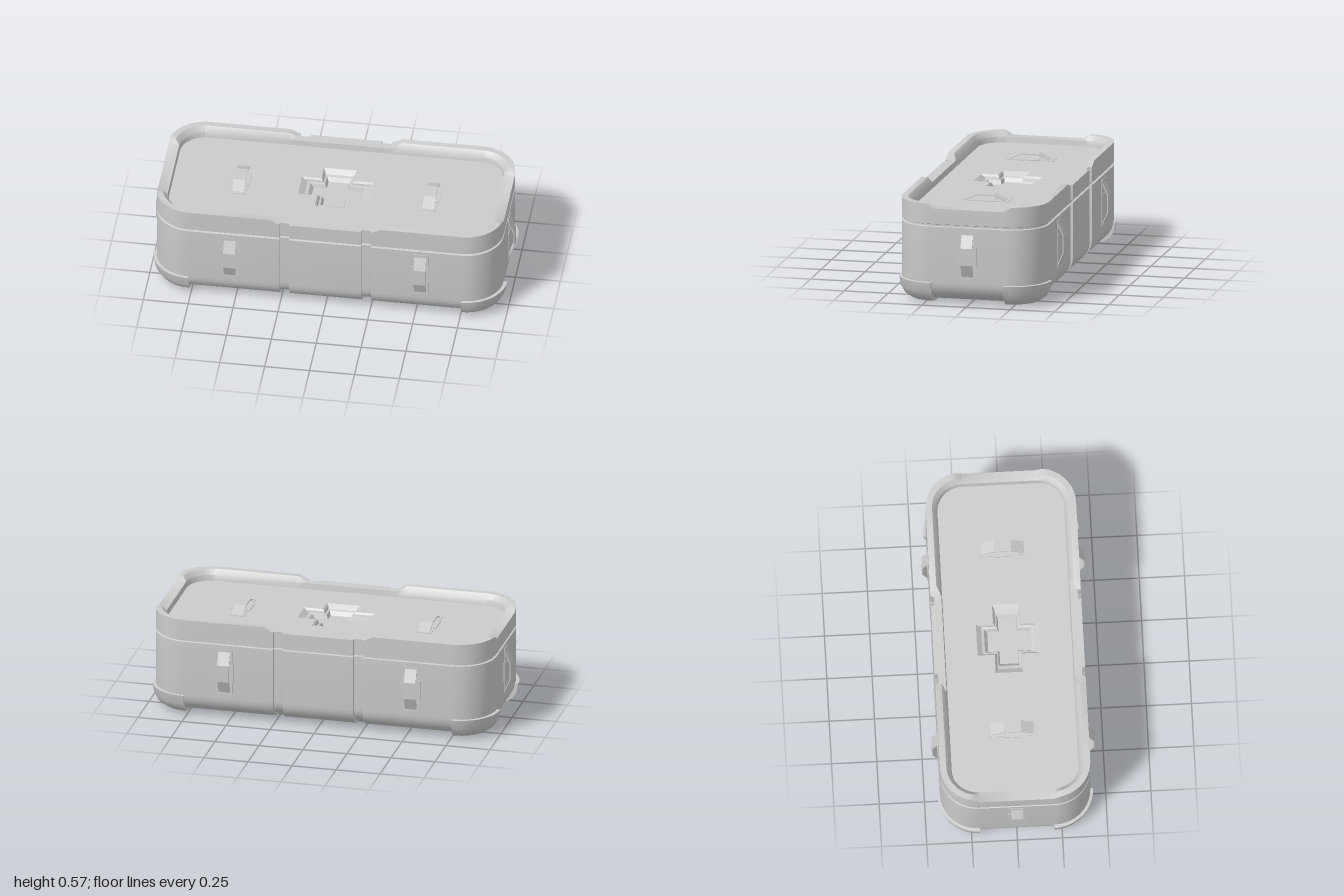
import * as THREE from 'three';
import { toCreasedNormals } from 'three/addons/utils/BufferGeometryUtils.js';

const R = 0.205, CX = 0.76, CZ = 0.21;   // plan corner radius and its centre
const GROOVE = 0.018, FLOOR = 0.508;

const material = new THREE.MeshStandardMaterial({ color: 0xcccccc });
const doubleSided = new THREE.MeshStandardMaterial({ color: 0xcccccc, side: THREE.DoubleSide });

function mesh(name, geometry, mat = material) {
  const m = new THREE.Mesh(geometry, mat);
  m.name = name;
  return m;
}

// Plan outline: base point, outward normal and groove flag for each station
function outline() {
  const quarter = [];
  for (const x of [0, 0.2, 0.201, 0.254, 0.255, 0.31]) {
    quarter.push({ x, z: CZ, nx: 0, nz: 1, g: x > 0.2 && x < 0.255 ? 1 : 0 });
  }
  for (let i = 0; i <= 10; i++) {
    const a = (i / 10) * Math.PI / 2;
    quarter.push({ x: CX, z: CZ, nx: Math.sin(a), nz: Math.cos(a), g: 0 });
  }
  for (const z of [0.2, 0]) quarter.push({ x: CX, z, nx: 1, nz: 0, g: 0 });
  const loop = [];
  [[1, 1], [1, -1], [-1, -1], [-1, 1]].forEach(([sx, sz], k) => {
    const q = k % 2 ? [...quarter].reverse() : quarter;
    for (const p of q.slice(0, -1)) {
      loop.push({ x: p.x * sx, z: p.z * sz, nx: p.nx * sx, nz: p.nz * sz, g: p.g });
    }
  });
  return loop;
}
const OUTLINE = outline();

// Rim height, lowered in the middle of all four sides
function rimHeight(p) {
  const x = Math.abs(p.x + p.nx * R), z = Math.abs(p.z + p.nz * R);
  const f = Math.min((x - 0.255) / 0.055, (z - 0.2) / 0.045);
  return 0.54 + 0.027 * THREE.MathUtils.clamp(f, 0, 1);
}

// One ring of the outline; grooves cut inward by gIn and upward by gUp
function ring(inset, y, gIn = 0, gUp = 0) {
  return OUTLINE.map((p) => {
    const r = R - inset - p.g * gIn;
    const h = typeof y === 'function' ? y(p) : y;
    return new THREE.Vector3(p.x + p.nx * r, h + p.g * gUp, p.z + p.nz * r);
  });
}

// Skin between successive closed rings
function loft(rings, crease = 0.6) {
  const n = rings[0].length, index = [];
  for (let j = 0; j < rings.length - 1; j++) {
    for (let i = 0; i < n; i++) {
      const k = (i + 1) % n, a = j * n, b = a + n;
      index.push(a + i, a + k, b + k, a + i, b + k, b + i);
    }
  }
  const g = new THREE.BufferGeometry().setFromPoints(rings.flat());
  g.setIndex(index);
  return toCreasedNormals(g, crease);
}

// Flat upward face bounded by a ring, with an optional hole
function flatFace(points, y, hole) {
  const to2 = (p) => new THREE.Vector2(p.x, -p.z);
  const s = new THREE.Shape(points.map(to2));
  if (hole) s.holes.push(new THREE.Path(hole.map(to2)));
  return new THREE.ShapeGeometry(s).rotateX(-Math.PI / 2).translate(0, y, 0);
}

function makeBody() {
  const rings = [];
  const r = 0.11, y0 = 0.017;
  for (let i = 0; i <= 7; i++) {
    const a = (i / 7) * Math.PI / 2, s = Math.sin(a), c = Math.cos(a);
    rings.push(ring(r * (1 - s), y0 + r * (1 - c), GROOVE * s, GROOVE * c));
  }
  // Underside runs from the centre line out to the rounded edge
  rings.unshift(rings[0].map((p) => new THREE.Vector3(p.x, p.y, 0)));
  rings.push(ring(0, 0.438, GROOVE), ring(0.012, 0.441, GROOVE), ring(0.012, 0.453, GROOVE));
  return mesh('body', loft(rings));
}

function makeLid() {
  return mesh('lid', loft([
    ring(0.012, 0.45, GROOVE),
    ring(0, 0.454, GROOVE),
    ring(0, rimHeight, GROOVE),
    ring(0.035, rimHeight),
    ring(0.06, 0.54),
    ring(0.065, FLOOR),
  ]));
}

// Cross outline: arm ends at ex, ez and arm half widths ax, az
function crossRing([ex, ez, ax, az, y]) {
  return [
    [-ax, ez], [ax, ez], [ax, az], [ex, az], [ex, -az], [ax, -az],
    [ax, -ez], [-ax, -ez], [-ax, -az], [-ex, -az], [-ex, az], [-ax, az],
  ].map(([x, z]) => new THREE.Vector3(x, y, z));
}

function makeLidPanel() {
  const g = new THREE.Group();
  g.name = 'lidPanel';
  const steps = [
    [0.2, 0.173, 0.093, 0.078, FLOOR],
    [0.187, 0.16, 0.084, 0.07, 0.498],
    [0.17, 0.145, 0.08, 0.066, 0.485],
    [0.15, 0.13, 0.068, 0.058, 0.482],
    [0.132, 0.112, 0.058, 0.05, 0.46],
  ].map(crossRing);
  g.add(mesh('panelFloor', flatFace(ring(0.065, FLOOR), FLOOR, steps[0])));
  g.add(mesh('crossRecess', loft(steps, 0.2)));
  g.add(mesh('crossFloor', flatFace(steps[4], 0.46)));
  return g;
}

// Quarter-round guard under each corner
function makeBumper(sx, sz) {
  const g = new THREE.Group();
  g.name = 'cornerBumper';
  const profile = [
    [0, 0], [0.1, 0], [0.16, 0.01], [0.195, 0.035], [0.215, 0.07], [0.225, 0.123], [0.2, 0.125],
  ].map(([x, y]) => new THREE.Vector2(x, y));
  const shell = new THREE.LatheGeometry(profile, 10, 0, Math.PI / 2);
  shell.deleteAttribute('normal');
  shell.deleteAttribute('uv');
  g.add(mesh('bumperShell', toCreasedNormals(shell, 0.65), doubleSided));
  const end = new THREE.ShapeGeometry(new THREE.Shape([...profile, new THREE.Vector2(0, 0.125)]));
  g.add(mesh('bumperEnd', end, doubleSided));
  g.add(mesh('bumperEnd', end.clone().rotateY(-Math.PI / 2), doubleSided));
  g.position.set(sx * CX, 0, sz * 0.205);
  // Quarter turns place the same guard at every corner
  g.rotation.y = sx > 0 ? (sz > 0 ? 0 : Math.PI / 2) : (sz > 0 ? -Math.PI / 2 : Math.PI);
  return g;
}

function roundedShape(w, h, r) {
  const s = new THREE.Shape();
  s.absarc(w - r, h - r, r, 0, Math.PI / 2);
  s.absarc(-w + r, h - r, r, Math.PI / 2, Math.PI);
  s.absarc(-w + r, -h + r, r, Math.PI, Math.PI * 1.5);
  s.absarc(w - r, -h + r, r, Math.PI * 1.5, Math.PI * 2);
  return s;
}

// Strap handle: long axis y, outward z
function makeHandle(name, position, rx, ry) {
  const g = new THREE.Group();
  g.name = name;
  const plate = new THREE.ExtrudeGeometry(roundedShape(0.045, 0.136, 0.012),
    { depth: 0.008, bevelEnabled: false, curveSegments: 3 });
  g.add(mesh('handlePlate', plate.translate(0, 0, -0.005)));
  g.add(mesh('handleSocket', new THREE.BoxGeometry(0.106, 0.11, 0.01)));
  // Thin arched strip
  const arch = [[-0.125, 0], [-0.048, 0.034], [0.048, 0.034], [0.125, 0],
    [0.111, 0], [0.046, 0.028], [-0.046, 0.028], [-0.111, 0]];
  const strap = new THREE.ExtrudeGeometry(
    new THREE.Shape(arch.map(([y, z]) => new THREE.Vector2(-z, y))),
    { depth: 0.066, bevelEnabled: false });
  strap.translate(0, 0, -0.033).rotateY(Math.PI / 2);
  g.add(mesh('handleStrap', strap));
  g.position.set(...position);
  g.rotation.set(rx, ry, 0);
  return g;
}

export function createModel() {
  const model = new THREE.Group();
  model.name = 'storageCase';
  model.add(makeBody(), makeLid(), makeLidPanel());
  for (const s of [1, -1]) {
    for (const t of [1, -1]) model.add(makeBumper(s, t));
    model.add(makeHandle('frontHandle', [s * 0.53, 0.282, 0.415], 0, 0));
    model.add(makeHandle('backHandle', [s * 0.53, 0.282, -0.415], 0, Math.PI));
    model.add(makeHandle('sideHandle', [s * 0.965, 0.282, 0], 0, s * Math.PI / 2));
    model.add(makeHandle('topHandle', [s * 0.53, FLOOR, -0.004], -Math.PI / 2, 0));
  }
  return model;
}
